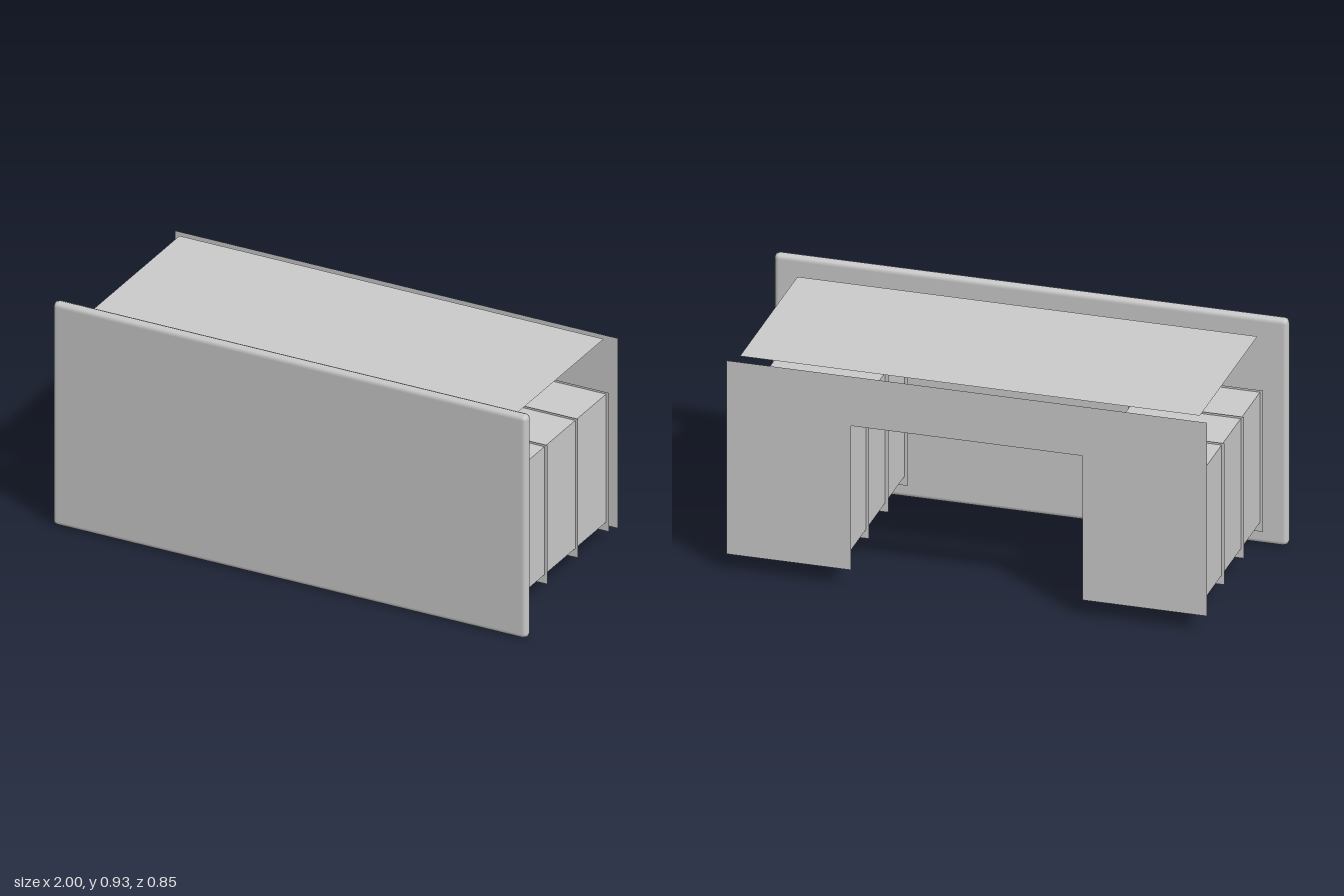
import * as THREE from 'three';
import { RoundedBoxGeometry } from 'three/addons/geometries/RoundedBoxGeometry.js';

const solid = new THREE.MeshStandardMaterial({ color: 0xcccccc });
const sheet = new THREE.MeshStandardMaterial({ color: 0xcccccc, side: THREE.DoubleSide });

function add(parent, name, geometry, material, x, y, z) {
  const mesh = new THREE.Mesh(geometry, material);
  mesh.name = name;
  mesh.position.set(x, y, z);
  parent.add(mesh);
  return mesh;
}

export function createModel() {
  const desk = new THREE.Group();
  desk.name = 'receptionDesk';

  // Tall softened panel facing visitors
  add(desk, 'frontPanel', new RoundedBoxGeometry(2.003, 0.933, 0.045, 1, 0.021), solid, 0, 0.465, 0.4035);

  // Thin work surface
  const top = add(desk, 'worktop', new THREE.PlaneGeometry(1.79, 0.73), sheet, 0, 0.868, -0.02);
  top.rotation.x = -Math.PI / 2;

  // Back sheet with a knee opening
  const outline = [
    [-0.935, 0.068], [-0.45, 0.068], [-0.45, 0.66], [0.45, 0.66],
    [0.45, 0.068], [0.935, 0.068], [0.935, 0.862], [-0.935, 0.862],
  ];
  const backShape = new THREE.Shape(outline.map(([x, y]) => new THREE.Vector2(x, y)));
  add(desk, 'backPanel', new THREE.ShapeGeometry(backShape), sheet, 0, 0, -0.425);

  // Two pedestals, each a cabinet crossed by four thin upright dividers
  const front = 0.345, back = -0.385;
  for (const side of [-1, 1]) {
    const pedestal = new THREE.Group();
    pedestal.name = side > 0 ? 'leftPedestal' : 'rightPedestal';
    pedestal.position.x = side * 0.692;
    add(pedestal, 'cabinet', new THREE.BoxGeometry(0.426, 0.535, front - back), solid,
      0, 0.3725, (front + back) / 2);
    for (let i = 0; i < 4; i++) {
      add(pedestal, 'divider', new THREE.PlaneGeometry(0.45, 0.58), sheet,
        0, 0.358, back + (i * (front - back)) / 3);
    }
    desk.add(pedestal);
  }
  return desk;
}
